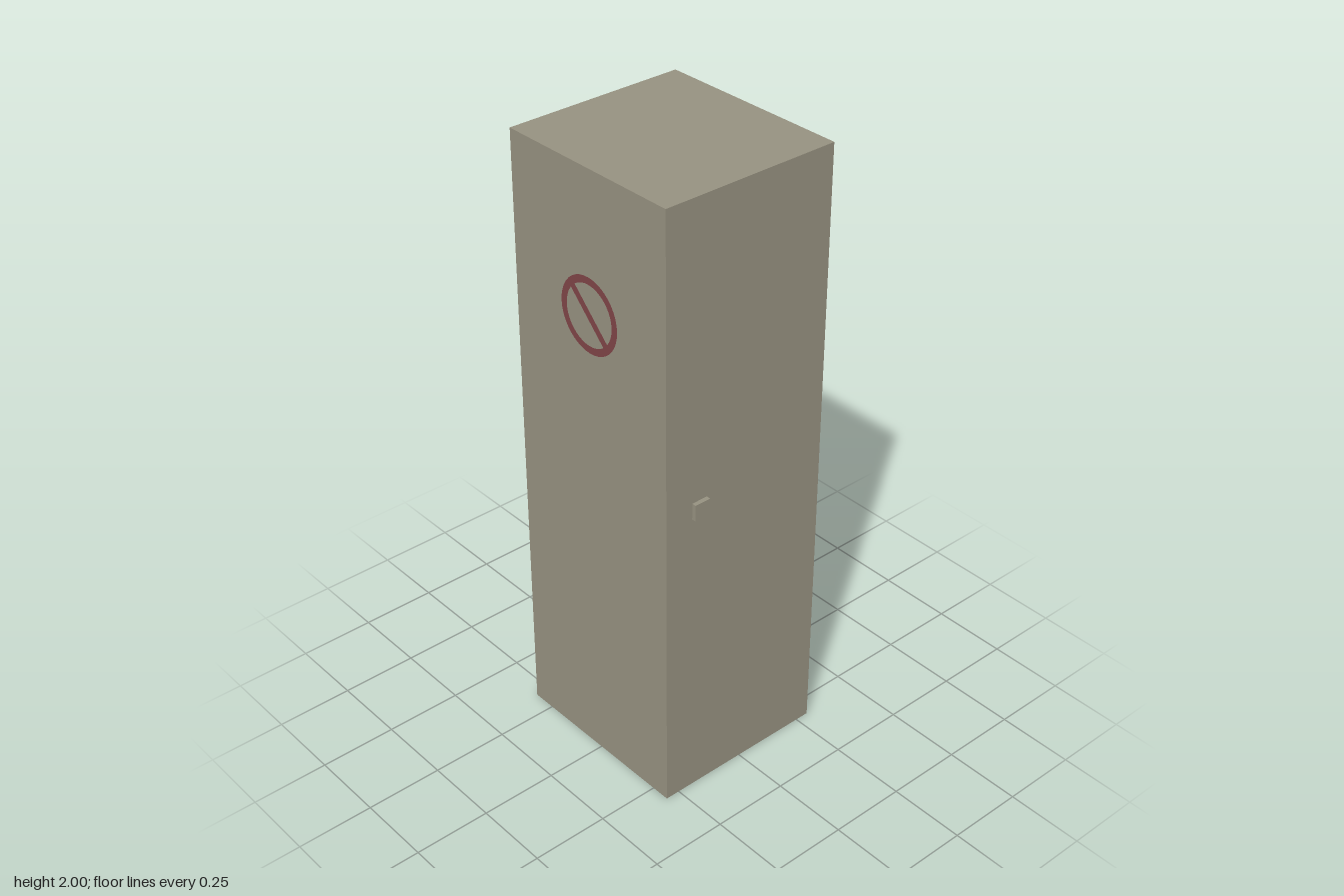
import * as THREE from 'three';

export function createModel() {
  const group = new THREE.Group();
  const steel = new THREE.MeshStandardMaterial({ color: 0x969180, side: THREE.DoubleSide });
  const red = new THREE.MeshStandardMaterial({ color: 0x7f4447 });

  const W = 0.594, H = 2, cx = -0.001;
  const front = 0.312, back = -0.328, D = front - back, cz = (front + back) / 2;
  const recess = 0.05, lift = 0.025; // inset of the back panel and the floor

  const add = (name, geometry, material, pos, rot = [0, 0, 0]) => {
    const mesh = new THREE.Mesh(geometry, material);
    mesh.name = name;
    mesh.position.set(...pos);
    mesh.rotation.set(...rot);
    group.add(mesh);
    return mesh;
  };
  const sheet = (name, w, h, pos, rot) => add(name, new THREE.PlaneGeometry(w, h), steel, pos, rot);

  // Sheet-metal cabinet
  const q = Math.PI / 2;
  sheet('door', W, H, [cx, H / 2, front]);
  sheet('roof', W, D, [cx, H, cz], [-q, 0, 0]);
  sheet('backPanel', W, H - lift, [cx, (H + lift) / 2, back + recess], [0, Math.PI, 0]);
  sheet('floor', W, D - recess, [cx, lift, cz + recess / 2], [q, 0, 0]);

  // Door knob
  add('knob', new THREE.BoxGeometry(0.054, 0.054, 0.014), steel, [-0.175, 1.028, front + 0.007]);

  // Ring of the round side mark
  const ring = new THREE.RingGeometry(0.096, 0.119, 40);
  const bar = new THREE.PlaneGeometry(0.205, 0.023);

  // Side walls, each with a barred ring painted outside
  for (const [side, s] of [['left', 1], ['right', -1]]) {
    const x = cx + s * W / 2;
    sheet(side + 'Wall', D, H, [x, H / 2, cz], [0, s * q, 0]);
    const mark = new THREE.Group();
    mark.name = side + 'Mark';
    mark.position.set(x + s * 0.002, 1.557, -0.004);
    mark.rotation.y = s * q;
    const slash = new THREE.Mesh(bar, red);
    slash.name = 'slash';
    slash.rotation.z = -Math.PI / 4;
    const circle = new THREE.Mesh(ring, red);
    circle.name = 'ring';
    mark.add(circle, slash);
    group.add(mark);
  }
  return group;
}
